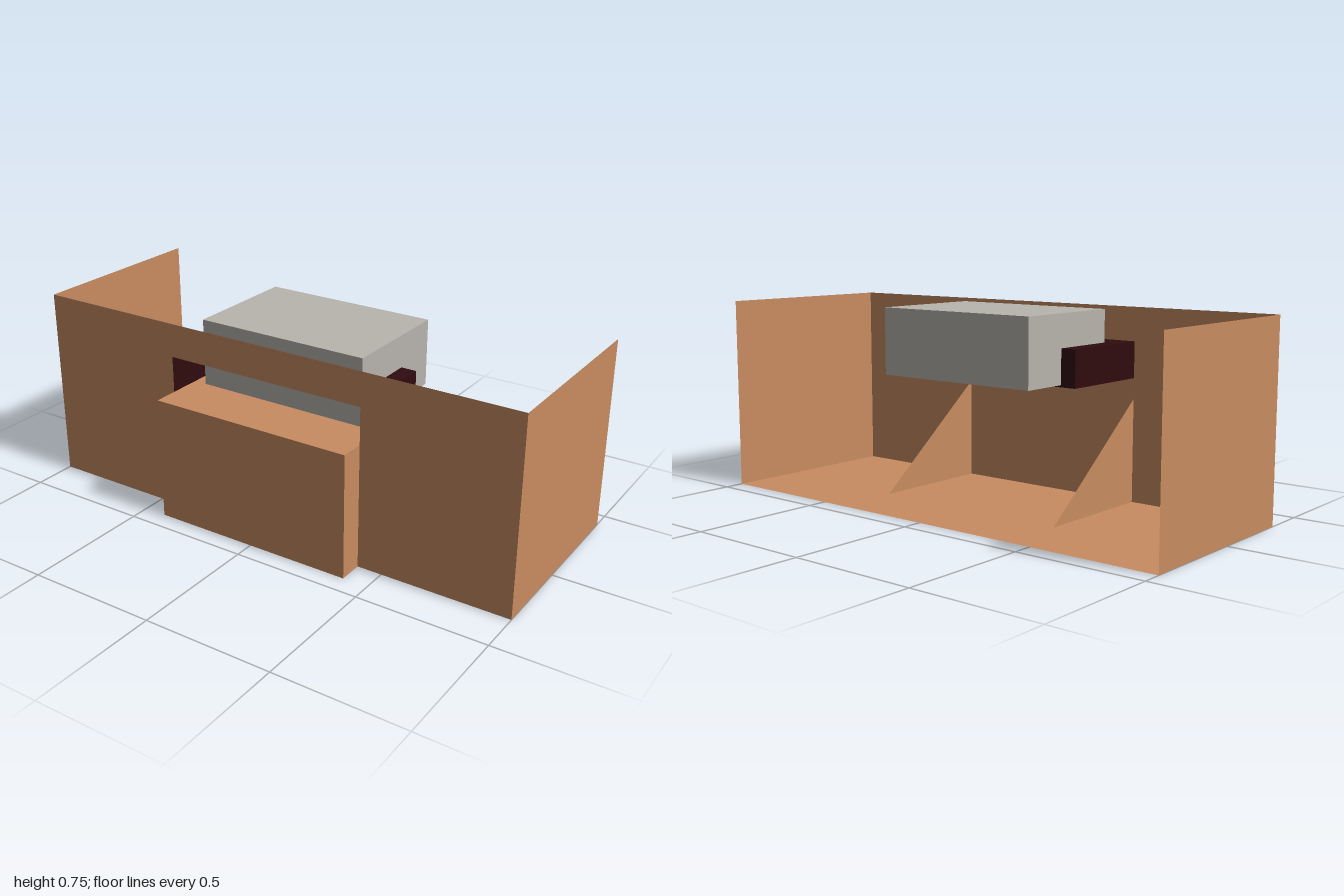
import * as THREE from 'three';

const tan = new THREE.MeshStandardMaterial({ color: 0xc88c60, side: THREE.DoubleSide });
tan.name = 'tan panel';
const maroon = new THREE.MeshStandardMaterial({ color: 0x300c0f, side: THREE.DoubleSide });
maroon.name = 'dark maroon';
const grey = new THREE.MeshStandardMaterial({ color: 0xb8b4ae });
grey.name = 'warm grey';

// Main extents of the counter and of its serving hatch
const X = 1, H = 0.75, BACK = -0.425, WALL = 0.33, FRONT = 0.425;
const L = -0.41, R = 0.403, SILL = 0.48, LINTEL = 0.62, POCKET = -0.05;

export function createModel() {
  const model = new THREE.Group();
  model.name = 'counter';

  function add(parent, name, geometry, material) {
    const mesh = new THREE.Mesh(geometry, material);
    mesh.name = name;
    parent.add(mesh);
    return mesh;
  }

  // Thin panels facing +z, +y and +x
  function panelZ(parent, name, mat, x0, x1, y0, y1, z) {
    const g = new THREE.PlaneGeometry(x1 - x0, y1 - y0);
    add(parent, name, g.translate((x0 + x1) / 2, (y0 + y1) / 2, z), mat);
  }
  function panelY(parent, name, mat, x0, x1, z0, z1, y) {
    const g = new THREE.PlaneGeometry(x1 - x0, z1 - z0).rotateX(-Math.PI / 2);
    add(parent, name, g.translate((x0 + x1) / 2, y, (z0 + z1) / 2), mat);
  }
  // Side panel from a list of [z, y] corners
  function panelX(parent, name, mat, points, x) {
    const shape = new THREE.Shape(points.map(([z, y]) => new THREE.Vector2(-z, y)));
    add(parent, name, new THREE.ShapeGeometry(shape).rotateY(Math.PI / 2).translate(x, 0, 0), mat);
  }
  const rect = (z0, z1, y0, y1) => [[z0, y0], [z1, y0], [z1, y1], [z0, y1]];

  // Open shell: floor, two ends and a front wall with a hatch
  const shell = new THREE.Group();
  shell.name = 'shell';
  model.add(shell);
  panelY(shell, 'floor', tan, -X, X, BACK, WALL, 0);
  panelX(shell, 'rightEnd', tan, rect(BACK, WALL, 0, H), -X);
  panelX(shell, 'leftEnd', tan, rect(BACK, WALL, 0, H), X);
  const wall = new THREE.Shape([[-X, 0], [X, 0], [X, H], [-X, H]].map((p) => new THREE.Vector2(...p)));
  wall.holes.push(new THREE.Path(
    [[L, SILL], [L, LINTEL], [R, LINTEL], [R, SILL]].map((p) => new THREE.Vector2(...p))));
  add(shell, 'frontWall', new THREE.ShapeGeometry(wall).translate(0, 0, WALL), tan);

  // Projecting front with a shelf and sloping side brackets
  const bay = new THREE.Group();
  bay.name = 'frontBay';
  model.add(bay);
  panelZ(bay, 'bayFront', tan, L, R, 0, SILL, FRONT);
  panelY(bay, 'bayBottom', tan, L, R, WALL, FRONT, 0);
  panelY(bay, 'shelf', tan, L, R, POCKET, FRONT, SILL);
  const bracket = [[-0.17, 0], [FRONT, 0], [FRONT, SILL], [WALL, SILL], [WALL, 0.4]];
  panelX(bay, 'rightBracket', tan, bracket, L);
  panelX(bay, 'leftBracket', tan, bracket, R);

  // Dark pocket behind the hatch, open at the front and above the shelf
  const pocket = new THREE.Group();
  pocket.name = 'hatchPocket';
  model.add(pocket);
  panelY(pocket, 'pocketTop', maroon, L, R, POCKET, WALL, LINTEL);
  panelZ(pocket, 'pocketBack', maroon, L, R, SILL, LINTEL, POCKET);
  panelX(pocket, 'pocketRight', maroon, rect(POCKET, WALL, SILL, LINTEL), L);
  panelX(pocket, 'pocketLeft', maroon, rect(POCKET, WALL, SILL, LINTEL), R);

  // Grey block set through the pocket
  add(model, 'greyBlock', new THREE.BoxGeometry(0.69, 0.257, 0.46), grey)
    .position.set(-0.003, 0.6165, -0.01);

  return model;
}
